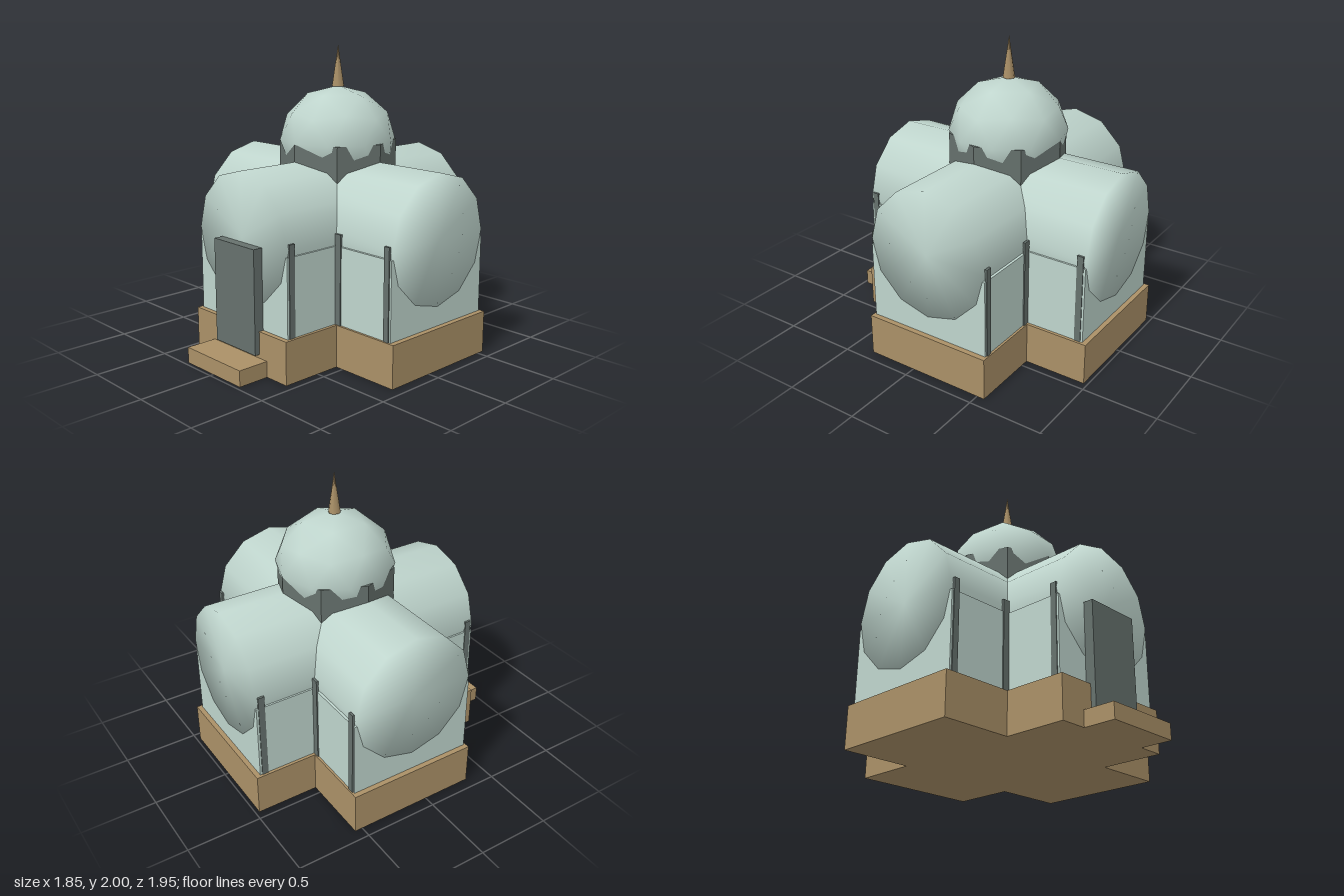
import * as THREE from 'three';
import { mergeVertices } from 'three/addons/utils/BufferGeometryUtils.js';

export function createModel() {
  const mat = (name, color) => {
    const m = new THREE.MeshStandardMaterial({ color });
    m.name = name;
    return m;
  };
  const plaster = mat('pale mint plaster', 0xbfd5cd);
  const stone = mat('tan stone', 0xaa9067);
  const slate = mat('dark slate', 0x66716d);

  const model = new THREE.Group();
  model.name = 'domedChapel';
  const CZ = -0.107; // centre of the cross plan

  const add = (name, geo, material, x, y, z, parent = model) => {
    const mesh = new THREE.Mesh(geo, material);
    mesh.name = name;
    mesh.position.set(x, y, z);
    parent.add(mesh);
    return mesh;
  };
  // Box standing on y0 and reaching y1
  const block = (name, material, w, d, y0, y1, x, z, parent) =>
    add(name, new THREE.BoxGeometry(w, y1 - y0, d), material, x, (y0 + y1) / 2, z, parent);

  // Cross-shaped plinth and front step
  block('plinthAcross', stone, 1.85, 0.89, 0, 0.28, 0, CZ);
  block('plinthAlong', stone, 0.89, 1.735, 0, 0.28, 0, CZ);
  block('frontStep', stone, 0.53, 0.235, 0, 0.105, 0, 0.8575);

  // Walls of the two crossing naves
  block('wallsAcross', plaster, 1.78, 0.86, 0.28, 0.79, 0, CZ);
  block('wallsAlong', plaster, 0.85, 1.67, 0.28, 0.79, 0, CZ);

  // Twelve-sided barrel roofs, smoothed right over their ends
  const barrel = (length) => {
    const g = new THREE.CylinderGeometry(0.425, 0.425, length, 12);
    g.deleteAttribute('normal');
    g.deleteAttribute('uv');
    const merged = mergeVertices(g, 1e-4);
    merged.computeVertexNormals();
    return merged;
  };
  add('barrelRoofAcross', barrel(1.784).rotateZ(Math.PI / 2), plaster, 0, 0.835, CZ);
  add('barrelRoofAlong', barrel(1.674).rotateX(Math.PI / 2), plaster, 0, 0.835, CZ);

  // Thin pilasters on the side walls of each arm
  const pilasters = new THREE.Group();
  pilasters.name = 'pilasters';
  model.add(pilasters);
  for (const sx of [-1, 1]) {
    for (const sz of [-1, 1]) {
      for (const [x, w] of [[0.447, 0.048], [0.857, 0.04]]) {
        block('pilaster', slate, w, 0.016, 0.28, 0.87, sx * x, CZ + sz * 0.43, pilasters);
      }
      block('pilaster', slate, 0.016, 0.043, 0.28, 0.87, sx * 0.422, CZ + sz * 0.799, pilasters);
    }
  }

  // Front door slab
  block('door', slate, 0.39, 0.095, 0.13, 0.81, 0, 0.7475);

  // Octagonal drum
  const drum = new THREE.CylinderGeometry(0.39, 0.39, 0.275, 8).toNonIndexed();
  drum.computeVertexNormals();
  add('drum', drum, slate, 0, 1.2375, CZ);

  // Dome: a once-divided icosahedron with a corner at the top, slightly flattened
  const dome = new THREE.IcosahedronGeometry(1, 1);
  dome.rotateZ(-Math.atan(2 / (1 + Math.sqrt(5))));
  dome.scale(0.39, 0.355, 0.39);
  add('dome', dome, plaster, 0, 1.375, CZ);

  // Spire
  add('spire', new THREE.ConeGeometry(0.04, 0.275, 8), stone, 0, 1.8625, CZ);

  return model;
}
